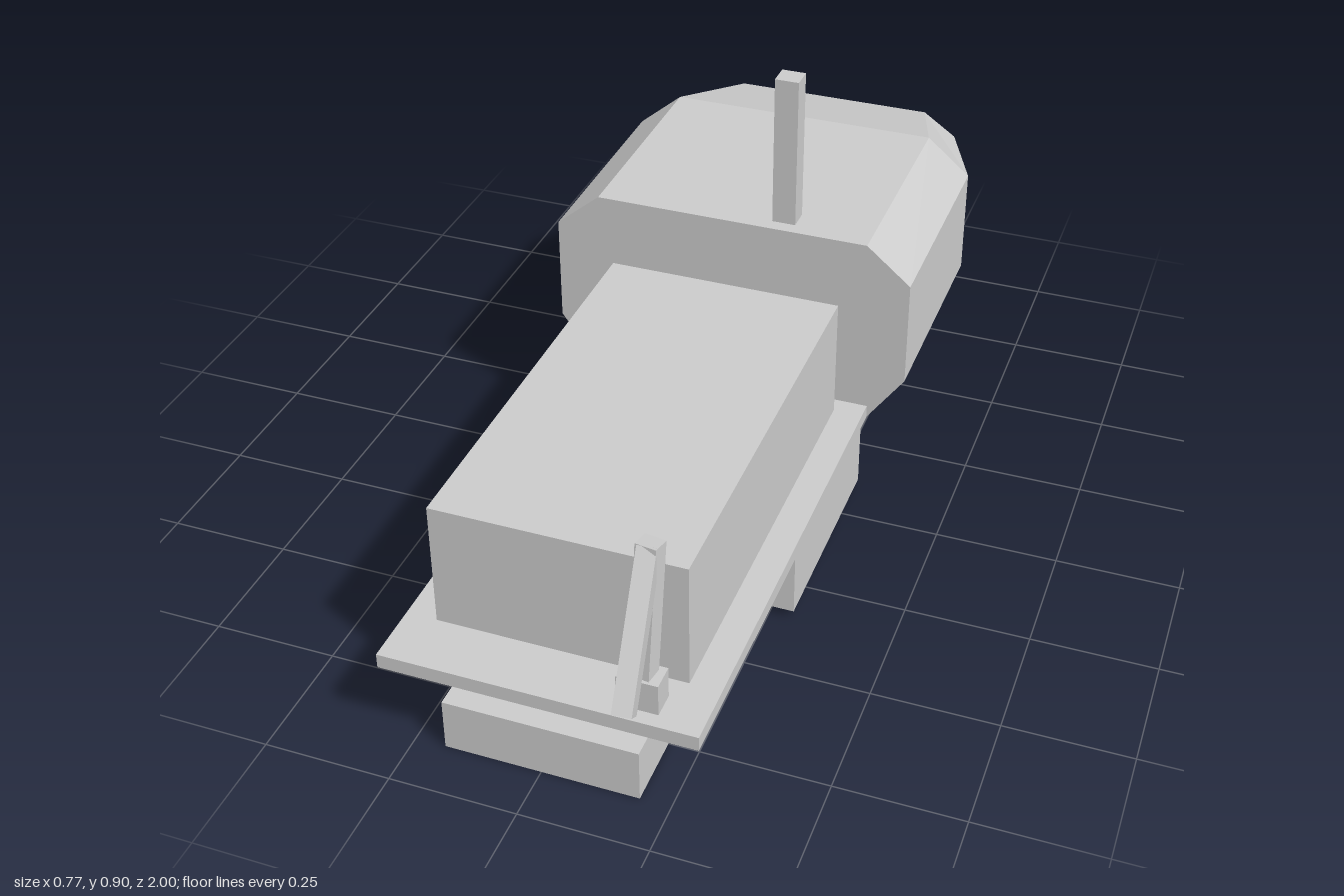
import * as THREE from 'three';

const material = new THREE.MeshStandardMaterial({ color: 0xcccccc, flatShading: true });

function addMesh(group, name, geometry) {
  const mesh = new THREE.Mesh(geometry, material);
  mesh.name = name;
  group.add(mesh);
  return mesh;
}

// Box given by its extents along each axis
function addBox(group, name, [x0, x1], [y0, y1], [z0, z1]) {
  const mesh = addMesh(group, name, new THREE.BoxGeometry(x1 - x0, y1 - y0, z1 - z0));
  mesh.position.set((x0 + x1) / 2, (y0 + y1) / 2, (z0 + z1) / 2);
  return mesh;
}

// Square bar between two points
function addBar(group, name, from, to, width, depth) {
  const a = new THREE.Vector3(...from), b = new THREE.Vector3(...to);
  const mesh = addMesh(group, name, new THREE.BoxGeometry(width, depth, a.distanceTo(b)));
  mesh.position.copy(a).add(b).multiplyScalar(0.5);
  mesh.lookAt(b);
  return mesh;
}

// Eight-sided hull lofted through sections running towards -z
function hullGeometry(sections) {
  const rings = sections.map(({ z, top, side, bottom }) => {
    const right = [[bottom[0], bottom[1]], [side[0], side[1]], [side[0], side[2]], [top[0], top[1]]];
    const left = right.map(([x, y]) => [-x, y]).reverse();
    return [...right, ...left].map(([x, y]) => [x, y, z]);
  });
  const positions = [];
  const tri = (a, b, c) => positions.push(...a, ...b, ...c);
  for (let i = 0; i < rings.length - 1; i++) {
    const p = rings[i], q = rings[i + 1];
    for (let j = 0; j < 8; j++) {
      const k = (j + 1) % 8;
      tri(p[j], q[j], q[k]);
      tri(p[j], q[k], p[k]);
    }
  }
  const first = rings[0], last = rings[rings.length - 1];
  for (let j = 1; j < 7; j++) {
    tri(first[0], first[j], first[j + 1]);
    tri(last[0], last[j + 1], last[j]);
  }
  const geometry = new THREE.BufferGeometry();
  geometry.setAttribute('position', new THREE.Float32BufferAttribute(positions, 3));
  geometry.computeVertexNormals();
  return geometry;
}

export function createModel() {
  const model = new THREE.Group();
  model.name = 'vehicle';

  // Chassis, side boxes and deck
  addBox(model, 'chassis', [-0.19, 0.19], [0, 0.108], [-0.825, 0.893]);
  addBox(model, 'sideBoxes', [-0.3, 0.3], [0.017, 0.168], [-0.103, 0.347]);
  addBox(model, 'deck', [-0.306, 0.306], [0.167, 0.197], [-0.125, 0.905]);
  addBox(model, 'cargoBox', [-0.245, 0.245], [0.197, 0.455], [-0.087, 0.785]);
  addBox(model, 'tailPlate', [-0.273, 0.273], [0.13, 0.16], [-1, -0.795]);

  // Faceted hull: top [x, y], side [x, lower y, upper y], bottom [x, y]
  addMesh(model, 'hull', hullGeometry([
    { z: -0.123, top: [0.29, 0.585], side: [0.383, 0.278, 0.507], bottom: [0.264, 0.11] },
    { z: -0.61, top: [0.29, 0.585], side: [0.383, 0.278, 0.507], bottom: [0.264, 0.11] },
    { z: -0.857, top: [0.22, 0.515], side: [0.293, 0.278, 0.465], bottom: [0.2, 0.19] },
    { z: -0.995, top: [0.1, 0.42], side: [0.148, 0.31, 0.39], bottom: [0.09, 0.265] },
  ]));
  addBox(model, 'mast', [0.081, 0.13], [0.58, 0.905], [-0.198, -0.152]);

  // Folding arm on the front corner of the deck
  const arm = new THREE.Group();
  arm.name = 'foldingArm';
  model.add(arm);
  addBox(arm, 'armBase', [0.143, 0.222], [0.197, 0.262], [0.827, 0.877]);
  addBar(arm, 'lowerArm', [0.185, 0.25, 0.852], [0.19, 0.525, 0.818], 0.041, 0.036);
  addBar(arm, 'upperArm', [0.188, 0.517, 0.82], [0.203, 0.288, 0.985], 0.036, 0.034);

  return model;
}
